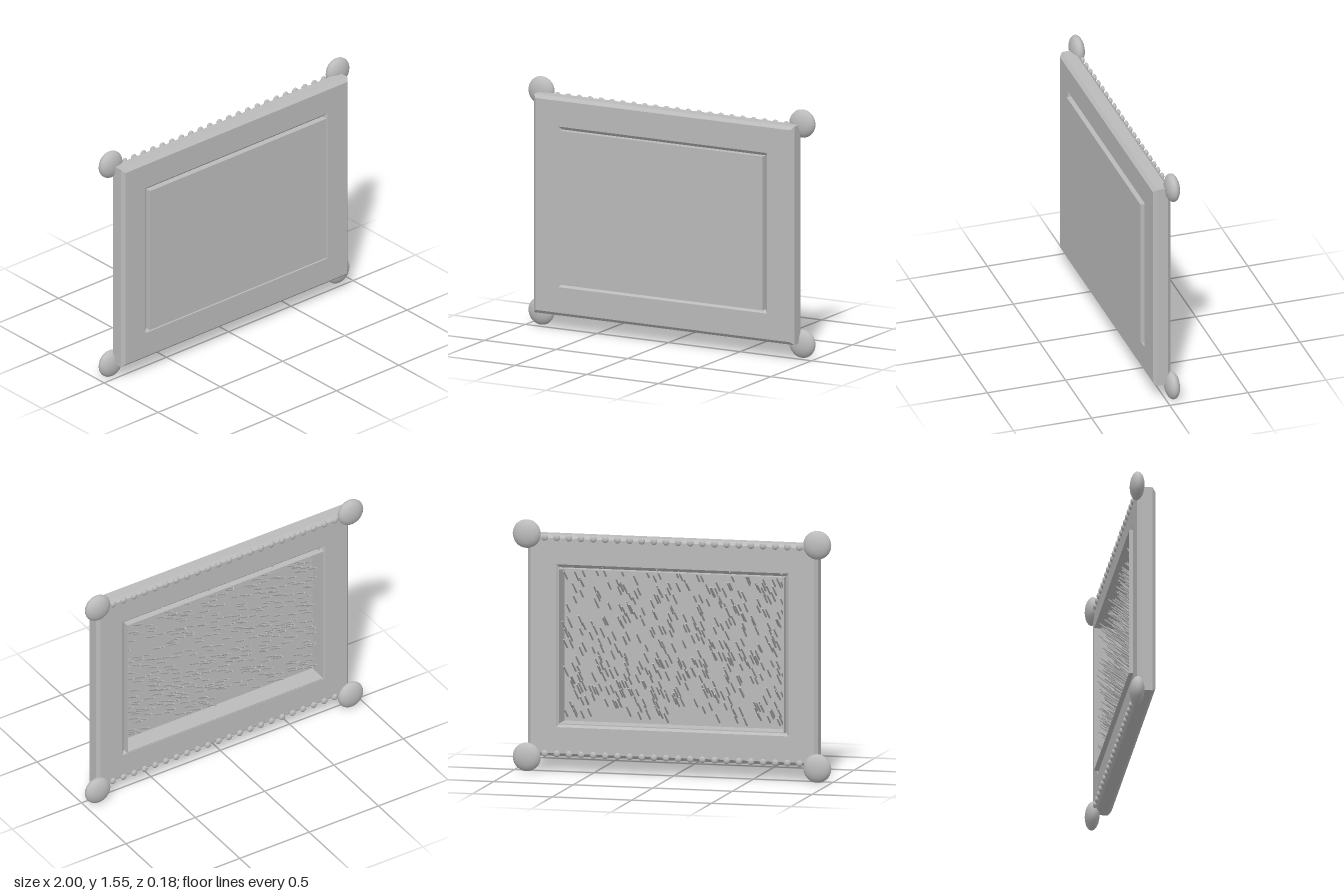
import * as THREE from 'three';
import { mergeGeometries } from 'three/addons/utils/BufferGeometryUtils.js';

const CY = 0.78; // height of the frame's centre

function rectangle(Type, hw, hh) {
  const r = new Type();
  r.moveTo(-hw, -hh);
  r.lineTo(hw, -hh);
  r.lineTo(hw, hh);
  r.lineTo(-hw, hh);
  r.closePath();
  return r;
}

function seeded(seed) {
  return () => {
    seed = (seed * 1664525 + 1013904223) % 4294967296;
    return seed / 4294967296;
  };
}

export function createModel() {
  const model = new THREE.Group();
  model.name = 'bristledFrame';
  const grey = new THREE.MeshStandardMaterial({ color: 0xbbbbbb });
  grey.name = 'plain grey';

  const add = (name, geometry, x = 0, y = 0, z = 0, parent = model) => {
    const mesh = new THREE.Mesh(geometry, grey);
    mesh.name = name;
    mesh.position.set(x, y, z);
    parent.add(mesh);
    return mesh;
  };

  // Bevelled rectangular frame with a bevelled opening
  const outline = rectangle(THREE.Shape, 0.89, 0.66);
  outline.holes.push(rectangle(THREE.Path, 0.73, 0.5));
  add('frame', new THREE.ExtrudeGeometry(outline, {
    depth: 0.072, bevelEnabled: true, bevelSize: 0.02, bevelThickness: 0.02, bevelSegments: 1,
  }), 0, CY, -0.02);

  // Raised front panel with thin walls that stand out at the back
  add('panel', new THREE.BoxGeometry(1.418, 0.958, 0.03), 0, CY, 0.075);
  const tray = new THREE.Group();
  tray.name = 'trayWalls';
  model.add(tray);
  const wall = 0.006, wallDepth = 0.124, wallZ = 0;
  for (const s of [-1, 1]) {
    add('sideWall', new THREE.BoxGeometry(wall, 0.958, wallDepth), s * 0.706, CY, wallZ, tray);
    add('endWall', new THREE.BoxGeometry(1.406, wall, wallDepth), 0, CY + s * 0.476, wallZ, tray);
  }

  // Flattened knobs at the corners
  const knob = new THREE.SphereGeometry(0.088, 20, 14).scale(1, 1, 0.5);
  for (const x of [-0.912, 0.912]) {
    for (const y of [0.091, 1.462]) add('cornerKnob', knob, x, y, -0.043);
  }

  // Rows of beads along the top and bottom of the back
  const beads = new THREE.Group();
  beads.name = 'beads';
  model.add(beads);
  const bead = new THREE.SphereGeometry(0.021, 12, 8).scale(1, 1, 0.6);
  for (const y of [0.116, 1.444]) {
    for (let i = 0; i < 22; i++) add('bead', bead, -0.8 + (1.6 * i) / 21, y, -0.043, beads);
  }

  // Slanted bristles on the inside of the tray, pointing up and back
  const random = seeded(7);
  const direction = new THREE.Vector3(0, 0.7, -1).normalize();
  const turn = new THREE.Quaternion().setFromUnitVectors(new THREE.Vector3(0, 1, 0), direction);
  const bristles = [];
  for (let i = 0; i < 420; i++) {
    const length = 0.09 + random() * 0.045;
    const g = new THREE.CylinderGeometry(0.0045, 0.006, length, 6);
    g.translate(0, length / 2, 0);
    g.applyQuaternion(turn);
    g.translate((random() - 0.5) * 1.38, 0.32 + random() * 0.9, 0.062);
    bristles.push(g);
  }
  add('bristles', mergeGeometries(bristles));

  return model;
}
